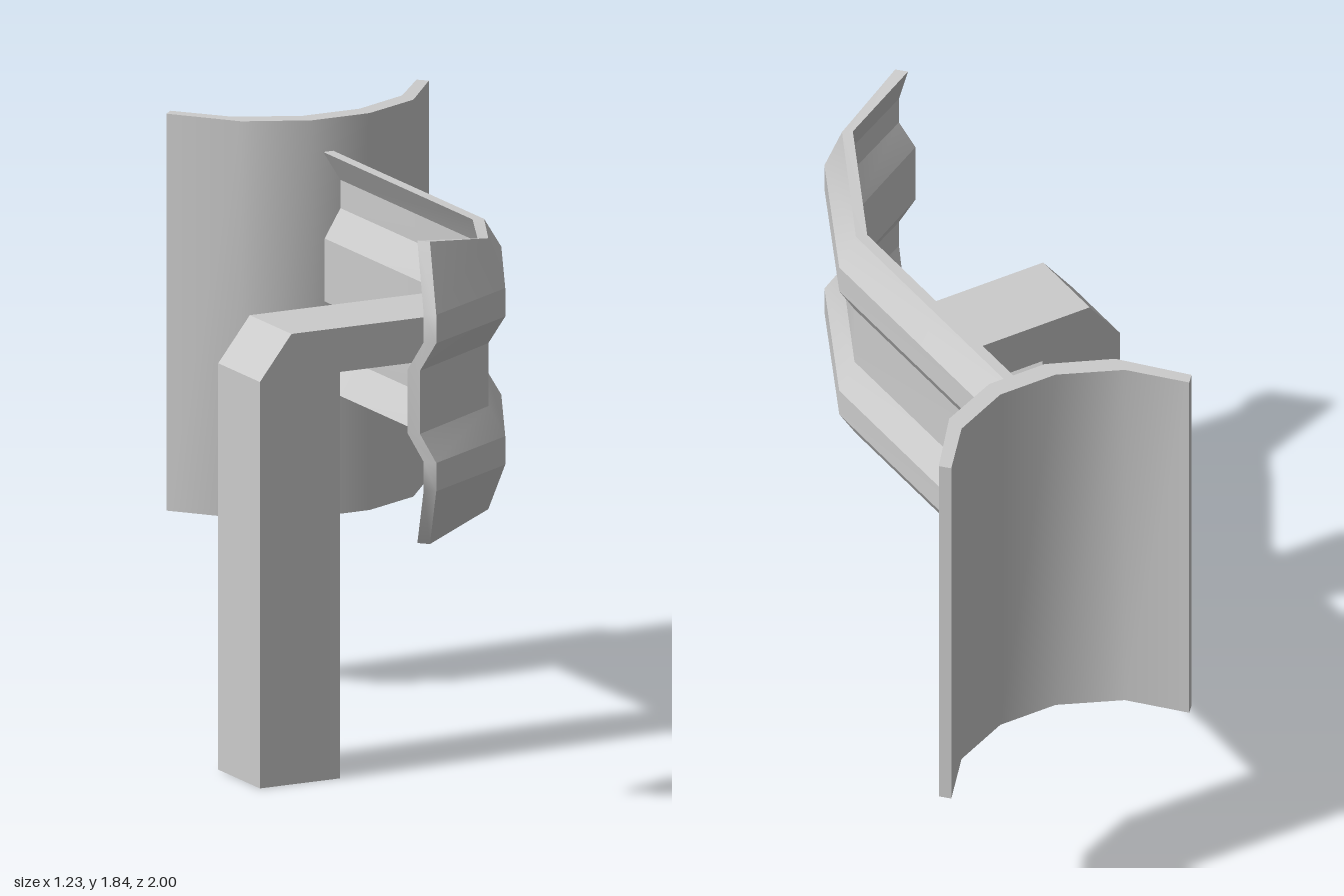
import * as THREE from 'three';

const material = new THREE.MeshStandardMaterial({ color: 0xcccccc, side: THREE.DoubleSide });

// Skins a series of closed rings; every lengthwise strip keeps its own vertices,
// so it is smooth along the sweep and creased across the section.
function loft(name, rings, { caps = true, flat = false } = {}) {
  const pos = [], index = [];
  const n = rings[0].length;
  const quad = (a, b, c, d) => index.push(a, b, c, a, c, d);
  for (let i = 0; i < n; i++) {
    const base = pos.length / 3;
    for (const ring of rings) pos.push(...ring[i], ...ring[(i + 1) % n]);
    for (let s = 0; s < rings.length - 1; s++) {
      const a = base + s * 2;
      quad(a, a + 2, a + 3, a + 1);
    }
  }
  if (caps) {
    // The first half of a ring runs opposite to the second half
    [rings[0], rings[rings.length - 1]].forEach((ring, end) => {
      const base = pos.length / 3;
      for (const p of ring) pos.push(...p);
      for (let j = 0; j < n / 2 - 1; j++) {
        const q = [j, j + 1, n - 2 - j, n - 1 - j].map(k => base + k);
        quad(...(end ? q.reverse() : q));
      }
    });
  }
  let geometry = new THREE.BufferGeometry();
  geometry.setAttribute('position', new THREE.Float32BufferAttribute(pos, 3));
  geometry.setIndex(index);
  if (flat) geometry = geometry.toNonIndexed();
  geometry.computeVertexNormals();
  const mesh = new THREE.Mesh(geometry, material);
  mesh.name = name;
  return mesh;
}

// Corrugated rail section: plan positions [x, z] of lip, crest and valley, plus back offset
function railRing({ lip, crest, valley, back, lipHeight }) {
  const half = [[lip, lipHeight], [crest, 0.28], [crest, 0.19], [valley, 0.1]];
  const profile = [...half, ...half.map(([p, h]) => [p, -h]).reverse()];
  const front = profile.map(([[x, z], h]) => [x, 1.36 + h, z]);
  const rear = front.map(([x, y, z]) => [x + back[0], y, z + back[1]]).reverse();
  return [...front, ...rear];
}

export function createModel() {
  const group = new THREE.Group();

  // Rail: straight run, then two bends toward a flared end
  group.add(loft('guardRail', [
    { lip: [0.13, -0.69], crest: [0.19, -0.69], valley: [0.135, -0.69], back: [-0.035, 0], lipHeight: 0.375 },
    { lip: [0.13, 0.31], crest: [0.19, 0.31], valley: [0.135, 0.31], back: [-0.035, -0.01], lipHeight: 0.375 },
    { lip: [-0.08, 0.735], crest: [-0.05, 0.79], valley: [-0.085, 0.745], back: [-0.03, -0.015], lipHeight: 0.43 },
    { lip: [-0.355, 0.87], crest: [-0.4, 0.997], valley: [-0.44, 0.965], back: [-0.028, -0.03], lipHeight: 0.48 },
  ].map(railRing)));

  // Curved end plate, mirrored about x = 0.16: [outer x, outer z, inner x, inner z]
  const bottom = 0.58, top = 1.84;
  const half = [[0.457, -0.97, 0.43, -1], [0.3, -0.775, 0.295, -0.84], [0.1, -0.685, 0.1, -0.75]];
  const plan = [...half, ...half.map(([a, b, c, d]) => [-a, b, -c, d]).reverse()];
  group.add(loft('endPlate', plan.map(([ox, oz, ix, iz]) => [
    [0.157 + ox, top, oz], [0.157 + ox, bottom, oz],
    [0.157 + ix, bottom, iz], [0.157 + ix, top, iz],
  ])));

  // Post with an open foot, bent over into the arm: [outer x, outer y, inner x, inner y]
  const z0 = -0.025, z1 = 0.25;
  group.add(loft('supportPost', [
    [-0.62, 0, -0.34, 0],
    [-0.62, 1.29, -0.34, 1.29],
    [-0.51, 1.43, -0.34, 1.29],
    [0.1, 1.43, 0.1, 1.29],
  ].map(([ox, oy, ix, iy]) => [[ox, oy, z1], [ox, oy, z0], [ix, iy, z0], [ix, iy, z1]]),
  { caps: false, flat: true }));

  return group;
}
